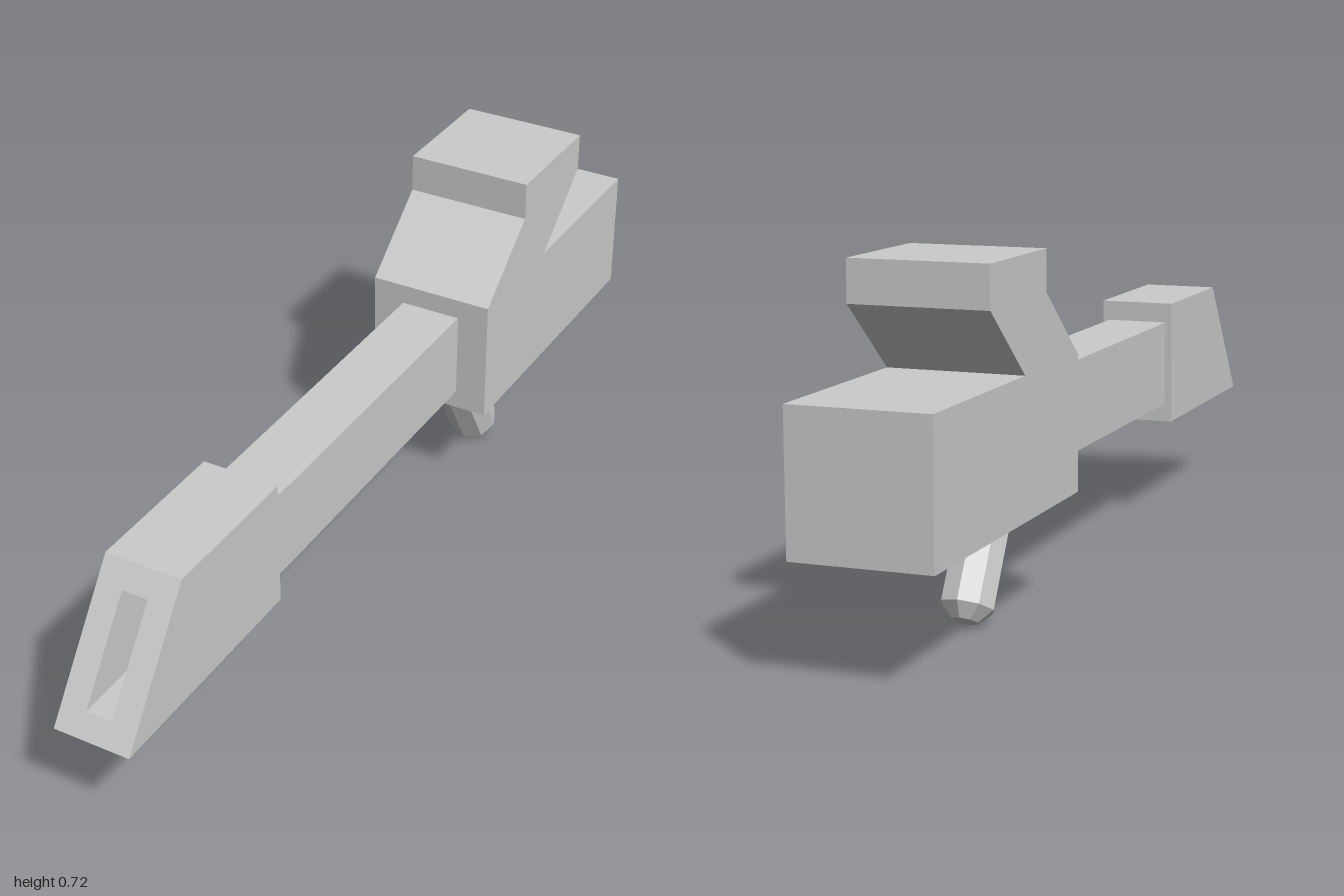
import * as THREE from 'three';

const material = new THREE.MeshStandardMaterial({ color: 0xcccccc, flatShading: true });

function addPart(group, name, geometry) {
  const mesh = new THREE.Mesh(geometry, material);
  mesh.name = name;
  group.add(mesh);
  return mesh;
}

// Extrudes a side outline of [z, y] points across x, centred on x = 0
function sideProfile(points, width) {
  const shape = new THREE.Shape(points.map(([z, y]) => new THREE.Vector2(z, y)));
  const geometry = new THREE.ExtrudeGeometry(shape, { depth: width, bevelEnabled: false });
  return geometry.translate(0, 0, -width / 2).rotateY(-Math.PI / 2);
}

function rectangle(PathType, halfWidth, bottom, top) {
  return new PathType([
    new THREE.Vector2(-halfWidth, bottom),
    new THREE.Vector2(halfWidth, bottom),
    new THREE.Vector2(halfWidth, top),
    new THREE.Vector2(-halfWidth, top),
  ]);
}

// Slanted front frame with a rectangular slot, sheared back as it rises
function slottedFace(depth) {
  const shape = rectangle(THREE.Shape, 0.083, 0.225, 0.5);
  shape.holes.push(rectangle(THREE.Path, 0.028, 0.267, 0.455));
  const geometry = new THREE.ExtrudeGeometry(shape, { depth, bevelEnabled: false });
  const p = geometry.attributes.position;
  const slope = 0.195 / 0.275;
  for (let i = 0; i < p.count; i++) {
    p.setZ(i, p.getZ(i) + 1 - depth - (p.getY(i) - 0.225) * slope);
  }
  geometry.computeVertexNormals();
  return geometry;
}

export function createModel() {
  const group = new THREE.Group();
  group.name = 'model';

  // Rear body with the raised, overhanging top block
  addPart(group, 'rearBody', sideProfile([
    [-1, 0.225], [-0.305, 0.225], [-0.305, 0.5], [-0.475, 0.64], [-0.475, 0.723],
    [-0.75, 0.723], [-0.75, 0.64], [-0.585, 0.5], [-1, 0.5],
  ], 0.278));

  // Slim connecting bar
  const bar = addPart(group, 'connectingBar', new THREE.BoxGeometry(0.136, 0.19, 0.78));
  bar.position.set(0, 0.361, 0.085);

  // Wedge-shaped front block: solid back and slotted front
  const slotDepth = 0.2;
  const nose = new THREE.Group();
  nose.name = 'frontBlock';
  addPart(nose, 'frontBlockBack', sideProfile([
    [0.475, 0.225], [1 - slotDepth, 0.225], [0.805 - slotDepth, 0.5], [0.475, 0.5],
  ], 0.166));
  addPart(nose, 'slottedFace', slottedFace(slotDepth));
  group.add(nose);

  // Tilted eight-sided handle with tapered ends and a thin neck
  const outline = [
    [0, -0.028], [0.028, -0.028], [0.055, 0], [0.055, 0.167],
    [0.028, 0.193], [0.028, 0.27], [0, 0.27],
  ].map(([r, y]) => new THREE.Vector2(r, y));
  const handle = addPart(group, 'handle', new THREE.LatheGeometry(outline, 8));
  handle.position.set(0, 0.038, -0.539);
  handle.rotation.x = Math.PI / 6;

  return group;
}
